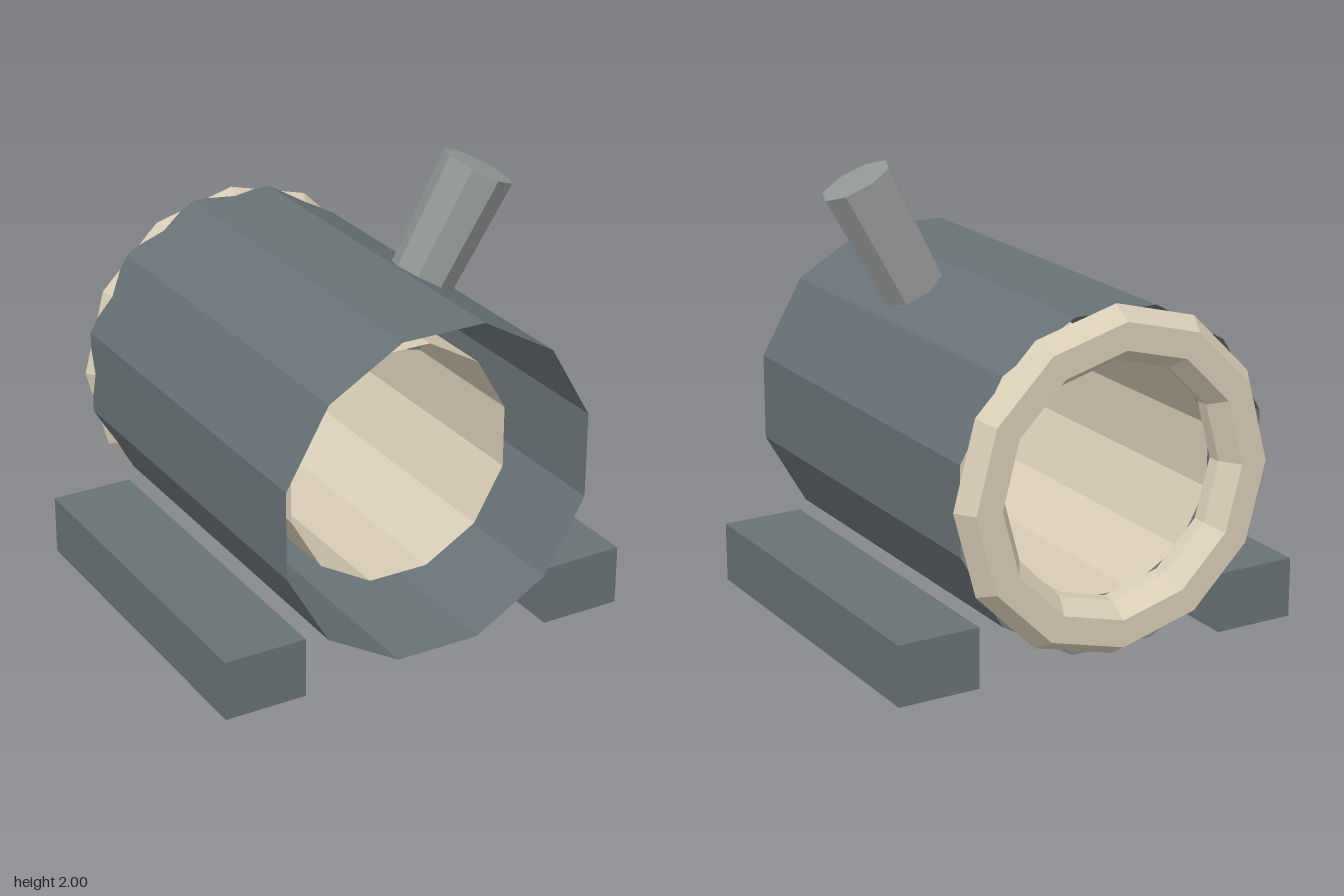
import * as THREE from 'three';

const SIDES = 12;
const AXIS_Y = 0.815;

export function createModel() {
  const group = new THREE.Group();
  const make = (name, color) => {
    const m = new THREE.MeshStandardMaterial({ color, flatShading: true, side: THREE.DoubleSide });
    m.name = name;
    return m;
  };
  const darkSteel = make('dark steel', 0x687276);
  const lightSteel = make('light steel', 0x949896);
  const cream = make('cream', 0xd8ccb4);

  const add = (name, geometry, material, x = 0, y = 0, z = 0) => {
    const mesh = new THREE.Mesh(geometry, material);
    mesh.name = name;
    mesh.position.set(x, y, z);
    group.add(mesh);
    return mesh;
  };

  // Open-ended twelve-sided tube along z, with flats at top and bottom
  const openTube = (radius, zBack, zFront) =>
    new THREE.CylinderGeometry(radius, radius, zFront - zBack, SIDES, 1, true, Math.PI / SIDES)
      .rotateX(Math.PI / 2)
      .translate(0, 0, (zFront + zBack) / 2);

  add('barrel', openTube(0.75, -0.86, 0.945), darkSteel, 0, AXIS_Y);
  add('innerLiner', openTube(0.54, -0.775, 0.62), cream, 0, AXIS_Y);

  // Bevelled ring on the back end
  const profile = [
    [0.52, -0.86], [0.58, -0.947], [0.70, -0.947], [0.757, -0.86],
    [0.70, -0.795], [0.52, -0.795], [0.52, -0.86],
  ].map(([r, z]) => new THREE.Vector2(r, z));
  add('backRing', new THREE.LatheGeometry(profile, SIDES).rotateX(Math.PI / 2), cream, 0, AXIS_Y);

  // Support rails on both sides
  for (const side of [1, -1]) {
    add(side > 0 ? 'leftRail' : 'rightRail',
      new THREE.BoxGeometry(0.375, 0.27, 1.655), darkSteel, side * 0.783, 0.135, 0.043);
  }

  // Leaning handle, slightly wider at its top
  const bottom = new THREE.Vector3(0.22, 1.19, 0.185);
  const top = new THREE.Vector3(0.583, 1.925, 0.275);
  const axis = top.clone().sub(bottom);
  const handle = add('handle',
    new THREE.CylinderGeometry(0.163, 0.135, axis.length(), 8), lightSteel);
  handle.position.copy(bottom).add(top).multiplyScalar(0.5);
  handle.quaternion.setFromUnitVectors(new THREE.Vector3(0, 1, 0), axis.normalize());

  return group;
}
